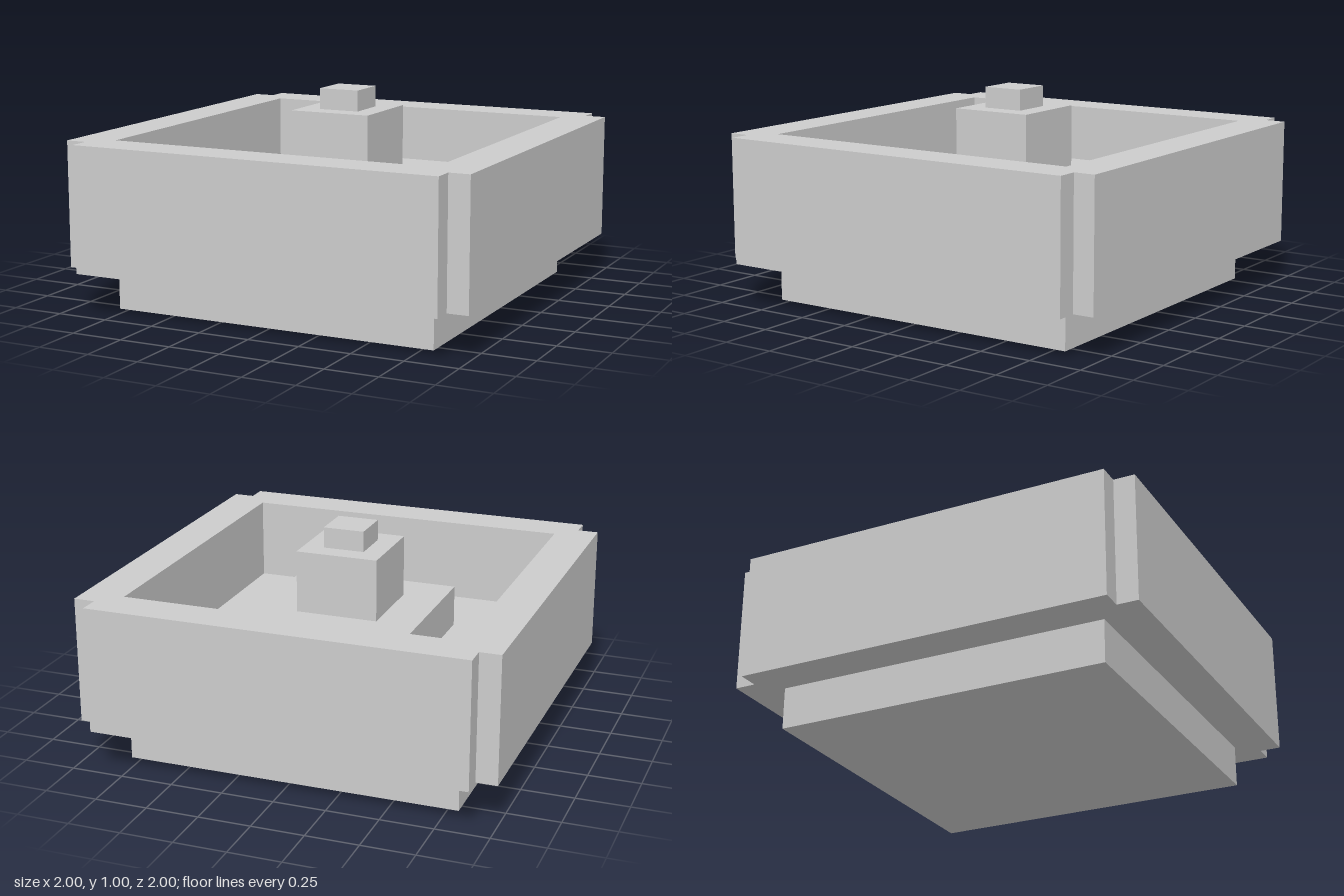
import * as THREE from 'three';

export function createModel() {
  const model = new THREE.Group();
  const stone = new THREE.MeshStandardMaterial({ color: 0xcccccc });
  stone.name = 'pale grey stone';

  function add(name, geometry) {
    const mesh = new THREE.Mesh(geometry, stone);
    mesh.name = name;
    model.add(mesh);
    return mesh;
  }

  // Square blocks stacked on the centre line: name, width, bottom, top
  const blocks = [
    ['basinBase', 1.6, 0, 0.4],
    ['plinth', 0.8, 0.4, 0.6],
    ['pillar', 0.4, 0.6, 0.9],
    ['pillarCap', 0.2, 0.9, 1],
  ];
  for (const [name, width, bottom, top] of blocks) {
    const height = top - bottom;
    add(name, new THREE.BoxGeometry(width, height, width)).position.y = bottom + height / 2;
  }

  // Basin wall: square ring with a notch cut from each outer corner
  const outer = [];
  for (let i = 0; i < 4; i++) {
    const turn = (x, y) => new THREE.Vector2(x, y).rotateAround(new THREE.Vector2(), i * Math.PI / 2);
    outer.push(turn(1, 0.9), turn(0.9, 0.9), turn(0.9, 1));
  }
  const ring = new THREE.Shape(outer);
  const inner = [[-0.8, -0.8], [-0.8, 0.8], [0.8, 0.8], [0.8, -0.8]];
  ring.holes.push(new THREE.Path(inner.map(([x, y]) => new THREE.Vector2(x, y))));
  const wall = new THREE.ExtrudeGeometry(ring, { depth: 0.6, bevelEnabled: false });
  wall.rotateX(-Math.PI / 2);
  add('basinWall', wall).position.y = 0.2;

  return model;
}
